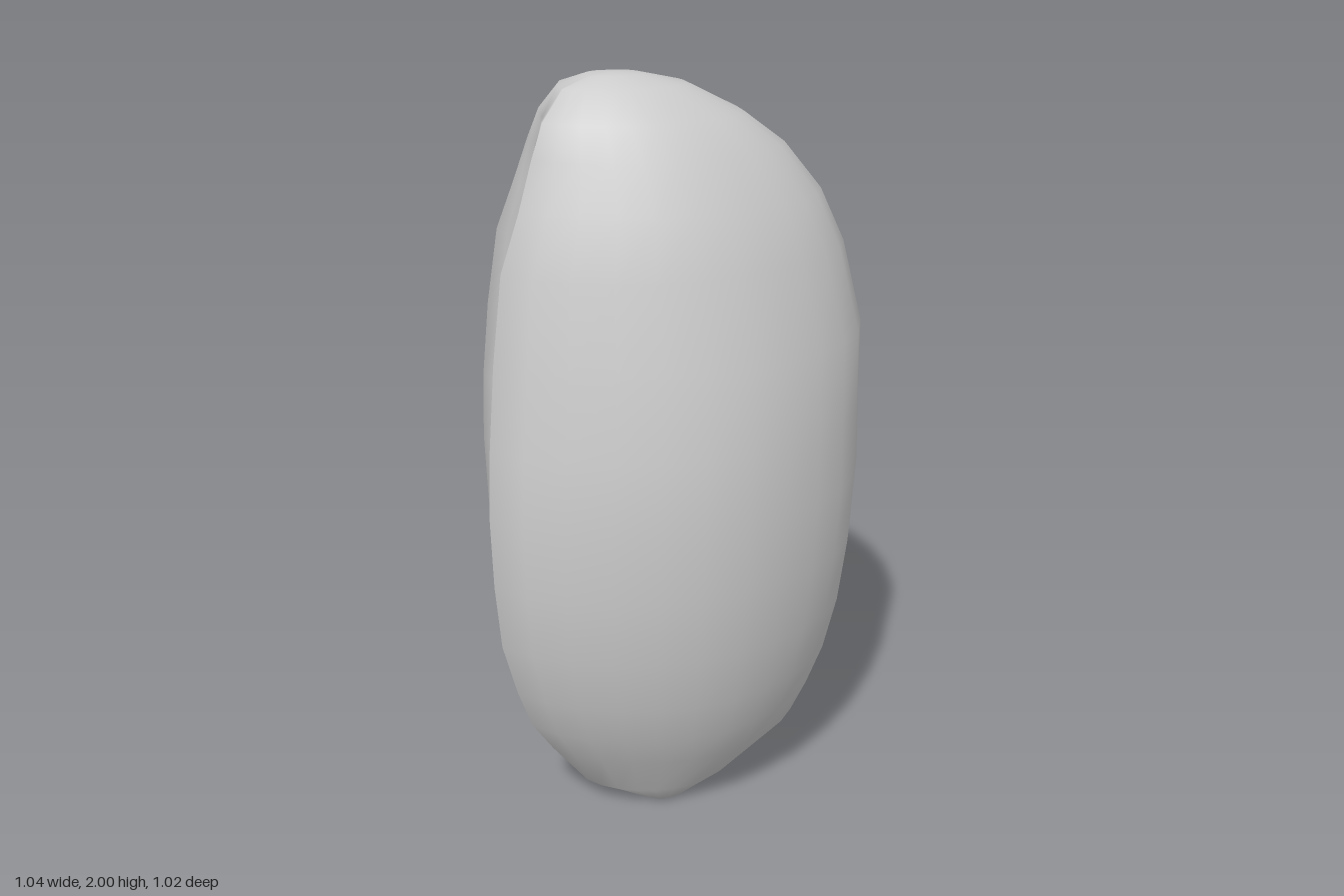
import * as THREE from 'three';

// Horizontal outline of the outer wall, from the back lip round to the front lip: [x, z]
const OUTER = [
  [-0.44, -0.31], [-0.38, -0.39], [-0.31, -0.45], [-0.22, -0.5], [-0.13, -0.515], [0.05, -0.5],
  [0.26, -0.46], [0.35, -0.41], [0.41, -0.33], [0.46, -0.25], [0.5, -0.15], [0.52, -0.03],
  [0.51, 0.15], [0.46, 0.26], [0.39, 0.34], [0.3, 0.41], [0.2, 0.46], [0.09, 0.5],
  [-0.03, 0.51], [-0.14, 0.5], [-0.25, 0.47], [-0.36, 0.42], [-0.45, 0.36], [-0.52, 0.28],
];
// Wall between the lips, front to back: [closed x, closed z, hollow x, hollow z]
const HOLLOW = [
  [-0.52, 0.24, -0.49, 0.24], [-0.52, 0.18, -0.38, 0.21], [-0.52, 0.11, -0.24, 0.17],
  [-0.52, 0.05, -0.15, 0.1], [-0.51, -0.02, -0.16, 0.02], [-0.5, -0.08, -0.25, -0.06],
  [-0.48, -0.14, -0.37, -0.12], [-0.46, -0.22, -0.42, -0.21],
];
// Section extents up the body: [y, xMin, xMax, zMin, zMax, hollowness]
const SECTIONS = [
  [0.01, -0.14, 0.06, -0.08, 0.24, 0],
  [0.06, -0.26, 0.21, -0.21, 0.27, 0],
  [0.2, -0.36, 0.38, -0.36, 0.35, 0.05],
  [0.3, -0.42, 0.42, -0.41, 0.4, 0.4],
  [0.42, -0.46, 0.46, -0.44, 0.44, 0.72],
  [0.58, -0.5, 0.49, -0.46, 0.48, 0.93],
  [0.76, -0.515, 0.51, -0.48, 0.5, 1],
  [0.95, -0.52, 0.52, -0.495, 0.51, 1],
  [1.13, -0.51, 0.52, -0.51, 0.5, 1],
  [1.34, -0.49, 0.52, -0.48, 0.47, 1],
  [1.56, -0.46, 0.46, -0.39, 0.42, 0.85],
  [1.7, -0.41, 0.39, -0.31, 0.38, 0.6],
  [1.82, -0.37, 0.29, -0.22, 0.32, 0.3],
  [1.9, -0.34, 0.18, -0.14, 0.28, 0.1],
  [1.97, -0.28, 0.04, -0.06, 0.2, 0],
  [1.995, -0.21, -0.07, 0.02, 0.14, 0],
];

function bodyGeometry() {
  const positions = [], index = [];
  const lerp = THREE.MathUtils.lerp;
  const n = OUTER.length + HOLLOW.length;

  // Rings of vertices, one per section
  for (const [y, x0, x1, z0, z1, d] of SECTIONS) {
    const ring = [...OUTER, ...HOLLOW.map(([cx, cz, hx, hz]) => [lerp(cx, hx, d), lerp(cz, hz, d)])];
    for (const [x, z] of ring) {
      positions.push(lerp(x0, x1, (x + 0.52) / 1.04), y, lerp(z0, z1, (z + 0.515) / 1.025));
    }
  }
  // Skin between neighbouring rings
  for (let j = 0; j < SECTIONS.length - 1; j++) {
    for (let i = 0; i < n; i++) {
      const a = j * n + i, b = j * n + (i + 1) % n;
      index.push(a, a + n, b, b, a + n, b + n);
    }
  }
  // Closed ends
  const top = (SECTIONS.length - 1) * n, low = SECTIONS.length * n;
  positions.push(-0.03, 0, 0.08, -0.14, 2, 0.08);
  for (let i = 0; i < n; i++) {
    const k = (i + 1) % n;
    index.push(low, i, k, low + 1, top + k, top + i);
  }

  const geometry = new THREE.BufferGeometry();
  geometry.setAttribute('position', new THREE.Float32BufferAttribute(positions, 3));
  geometry.setIndex(index);
  geometry.computeVertexNormals();
  return geometry;
}

export function createModel() {
  const group = new THREE.Group();
  group.name = 'hollowedSeed';
  const body = new THREE.Mesh(bodyGeometry(), new THREE.MeshStandardMaterial({ color: 0xcccccc }));
  body.name = 'seedBody';
  group.add(body);
  return group;
}
